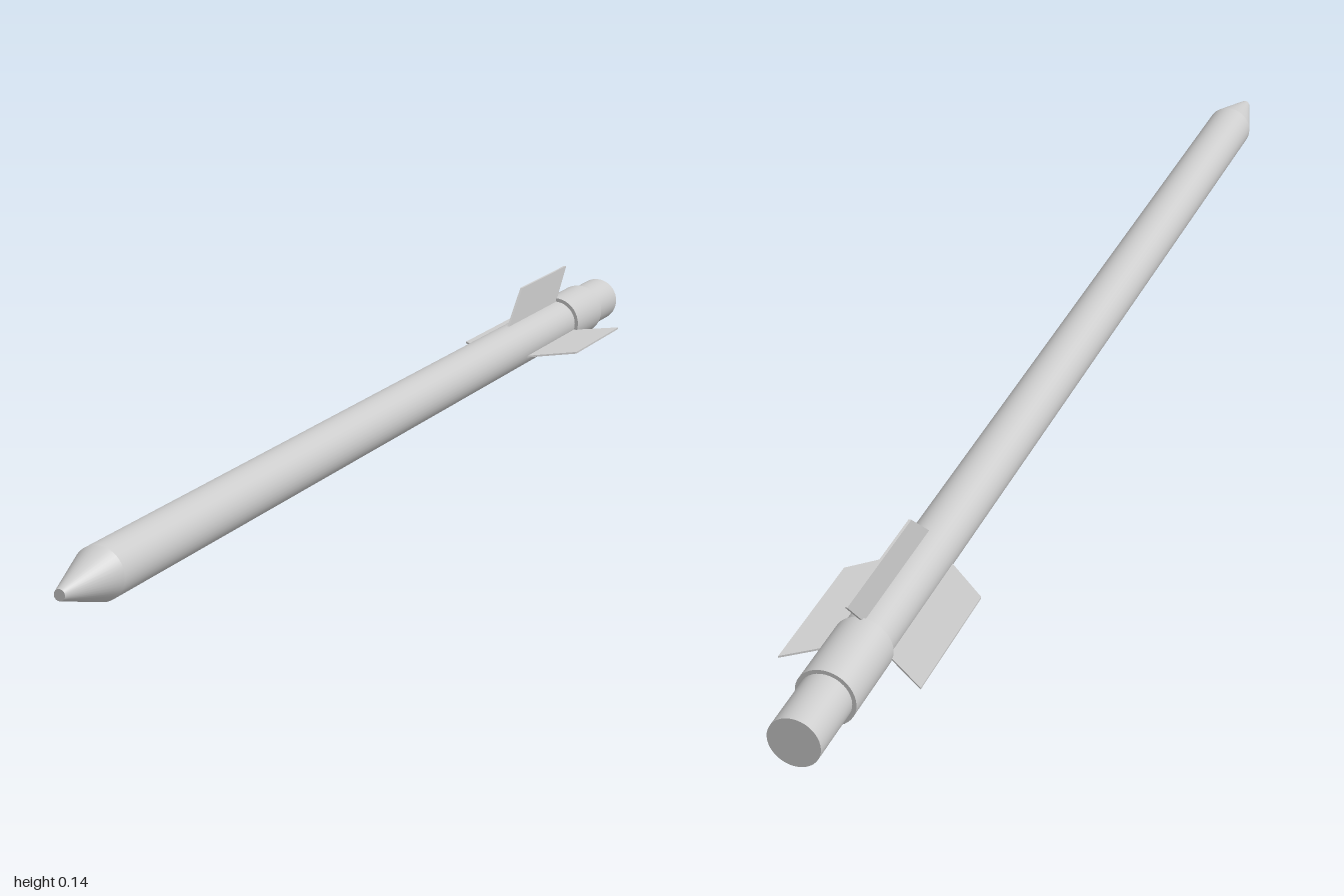
import * as THREE from 'three';

const AXIS_Y = 0.046; // height of the body's centre line
const BODY_R = 0.038;

export function createModel() {
  const model = new THREE.Group();
  const material = new THREE.MeshStandardMaterial({ color: 0xcccccc });

  const add = (name, geometry) => {
    const mesh = new THREE.Mesh(geometry, material);
    mesh.name = name;
    model.add(mesh);
    return mesh;
  };

  // Round section lying along z, between its back and front ends
  const section = (name, zBack, zFront, rBack, rFront, open = false) => {
    const g = new THREE.CylinderGeometry(rFront, rBack, zFront - zBack, 40, 1, open);
    g.rotateX(Math.PI / 2);
    g.translate(0, AXIS_Y, (zBack + zFront) / 2);
    return add(name, g);
  };

  section('body', -1, 0.9, BODY_R, BODY_R);
  section('noseCone', 0.9, 0.99, BODY_R, 0.011, true);
  section('noseTip', 0.99, 1, 0.011, 0.008);
  section('tailCollar', -0.9, -0.775, 0.044, 0.044);

  // Swept fin plate: span runs along +x, chord along z, thickness along y
  const finGeometry = (root, span, thickness) => {
    const shape = new THREE.Shape([
      new THREE.Vector2(root, 0.54),
      new THREE.Vector2(span, 0.605),
      new THREE.Vector2(span, 0.825),
      new THREE.Vector2(BODY_R, 0.775),
      new THREE.Vector2(root, 0.775),
    ]);
    const g = new THREE.ExtrudeGeometry(shape, { depth: thickness, bevelEnabled: false });
    g.translate(0, 0, -thickness / 2);
    g.rotateX(-Math.PI / 2); // shape's y becomes -z
    return g;
  };

  // Upright fin
  const topFin = add('topFin', finGeometry(0.034, 0.094, 0.004));
  topFin.rotation.z = Math.PI / 2;
  topFin.position.y = AXIS_Y;

  // Side fins, set a little below the centre line
  for (const side of [1, -1]) {
    const fin = add(side > 0 ? 'leftFin' : 'rightFin', finGeometry(0.032, 0.103, 0.003));
    fin.rotation.z = side > 0 ? 0 : Math.PI;
    fin.position.y = 0.034;
  }

  return model;
}
